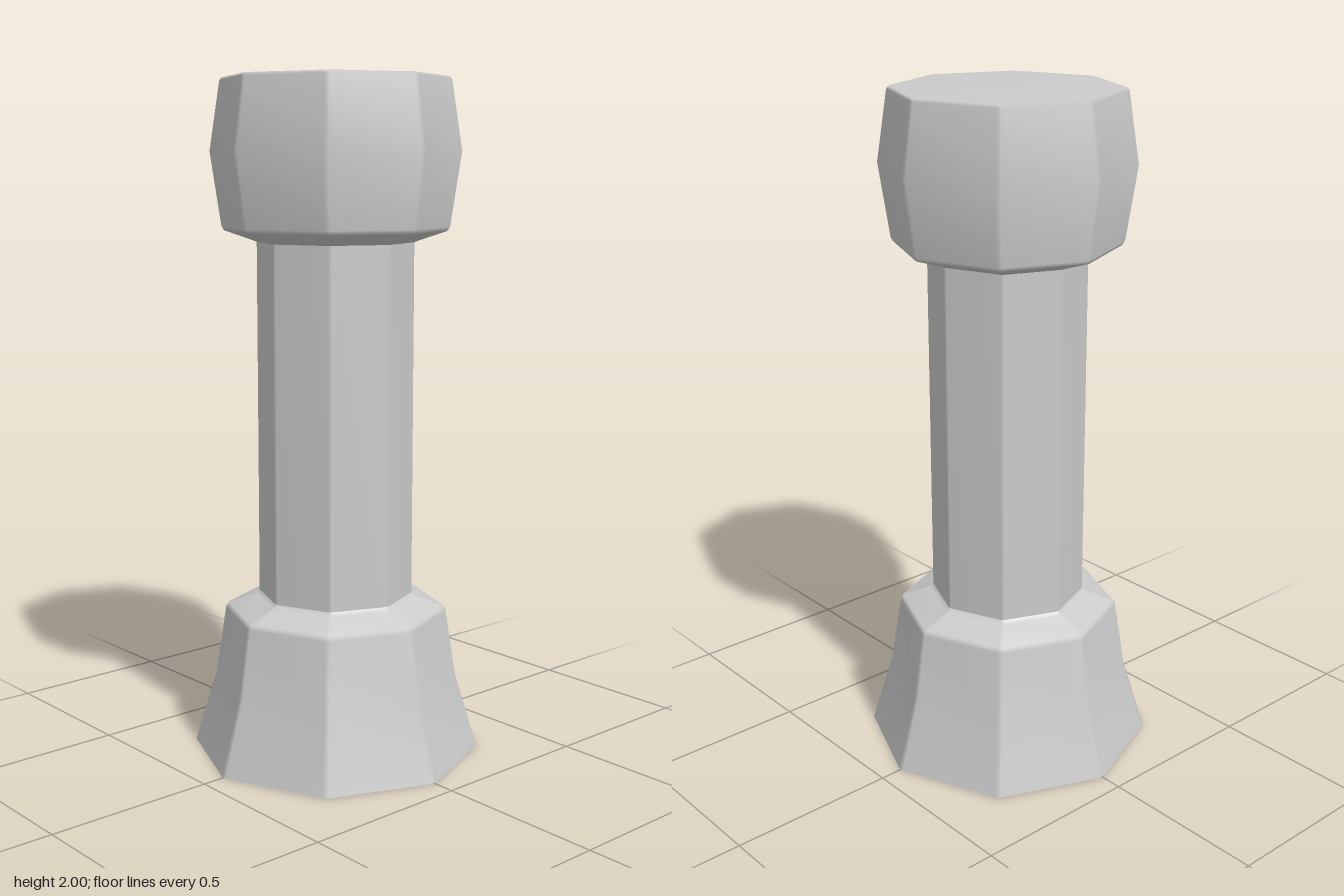
import * as THREE from 'three';
import { mergeVertices } from 'three/addons/utils/BufferGeometryUtils.js';

const material = new THREE.MeshStandardMaterial({ color: 0xcccccc, side: THREE.DoubleSide });

// Octagonal turned part with narrow softened corners; profile is [radius, y] from bottom to top.
function octagonalPart(name, profile) {
  const points = profile.map(([r, y]) => new THREE.Vector2(r, y));
  let geometry = new THREE.LatheGeometry(points, 16);
  const position = geometry.attributes.position;
  const bevel = THREE.MathUtils.degToRad(1.2);
  for (let i = 0; i <= 16; i++) {
    const k = i % 16;
    const angle = Math.floor(k / 2) * Math.PI / 4 + (k % 2 ? bevel : -bevel);
    points.forEach((p, j) => {
      position.setXYZ(i * points.length + j, p.x * Math.sin(angle), p.y, p.x * Math.cos(angle));
    });
  }
  geometry.deleteAttribute('uv');
  geometry.deleteAttribute('normal');
  geometry = mergeVertices(geometry, 1e-5);
  geometry.computeVertexNormals();
  const mesh = new THREE.Mesh(geometry, material);
  mesh.name = name;
  return mesh;
}

export function createModel() {
  const group = new THREE.Group();
  group.name = 'octagonalPillar';
  group.add(
    // Flared foot, open underneath, with a sloping shoulder
    octagonalPart('base', [[0.43, 0], [0.365, 0.22], [0.333, 0.425], [0.325, 0.438], [0.24, 0.469], [0.23, 0.48]]),
    octagonalPart('shaft', [[0.23, 0.48], [0.23, 1.53]]),
    // Bulging head with a flat top
    octagonalPart('head', [[0.23, 1.53], [0.24, 1.534], [0.325, 1.563], [0.333, 1.575], [0.365, 1.79], [0.334, 1.992], [0.327, 2], [0, 2]])
  );
  return group;
}
